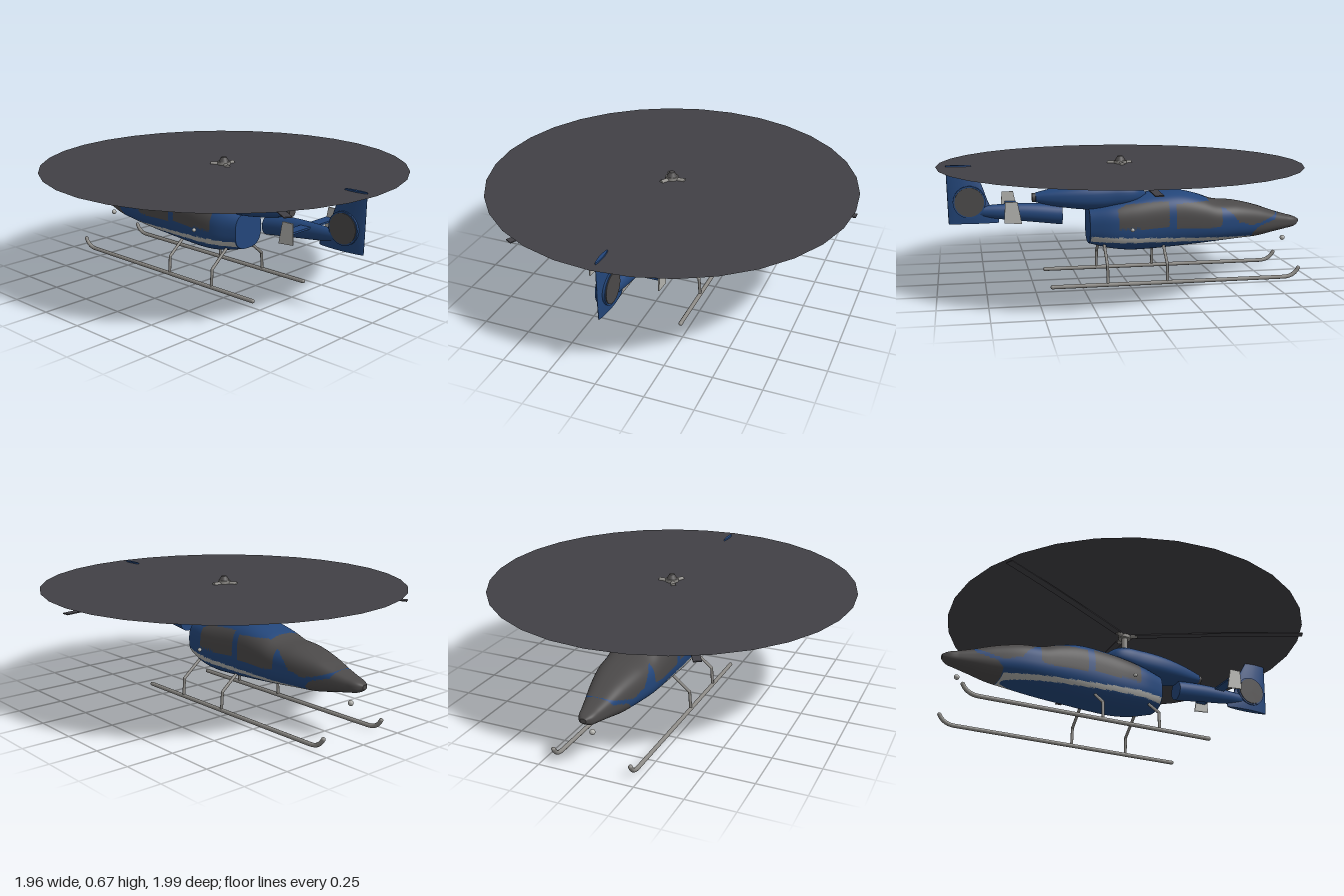
import * as THREE from 'three';

const mat = (name, hex, side = THREE.FrontSide) => {
  const m = new THREE.MeshStandardMaterial({ color: hex, side });
  m.name = name;
  return m;
};

// Point-in-polygon test for painted areas, in side view (z, y)
function inside(poly, z, y) {
  let hit = false;
  for (let i = 0, j = poly.length - 1; i < poly.length; j = i++) {
    const [zi, yi] = poly[i], [zj, yj] = poly[j];
    if ((yi > y) !== (yj > y) && z < ((zj - zi) * (y - yi)) / (yj - yi) + zi) hit = !hit;
  }
  return hit;
}

// Smooth skin along z through rows of [z, low, high, half width], with flat ends.
// paint(z, y) picks a material index for each face.
function loft(rows, { power = 2, steps = 40, around = 40, paint = () => 0 } = {}) {
  const curve = new THREE.CubicInterpolant(rows.map(r => r[0]), rows.flatMap(r => r.slice(1)), 3);
  const z0 = rows[0][0], z1 = rows[rows.length - 1][0];
  const pos = [], faces = [];
  const bend = v => Math.sign(v) * Math.pow(Math.abs(v), 2 / power);
  const ring = z => {
    const [lo, hi, w] = curve.evaluate(z);
    for (let j = 0; j < around; j++) {
      const a = (j / around) * Math.PI * 2;
      pos.push(w * bend(Math.cos(a)), (lo + hi) / 2 + ((hi - lo) / 2) * bend(Math.sin(a)), z);
    }
    return (lo + hi) / 2;
  };
  for (let i = 0; i <= steps; i++) ring(z0 + ((z1 - z0) * i) / steps);
  for (let i = 0; i < steps; i++) for (let j = 0; j < around; j++) {
    const k = (j + 1) % around, a = i * around + j, b = i * around + k;
    faces.push([a, b, a + around], [b, b + around, a + around]);
  }
  for (const [z, front] of [[z0, false], [z1, true]]) {
    const s = pos.length / 3;
    const mid = ring(z);
    pos.push(0, mid, z);
    for (let j = 0; j < around; j++) {
      const k = s + ((j + 1) % around);
      faces.push(front ? [s + around, s + j, k] : [s + around, k, s + j]);
    }
  }
  const byPaint = [];
  for (const f of faces) {
    const mean = o => (pos[f[0] * 3 + o] + pos[f[1] * 3 + o] + pos[f[2] * 3 + o]) / 3;
    (byPaint[paint(mean(2), mean(1))] ??= []).push(...f);
  }
  const g = new THREE.BufferGeometry();
  g.setAttribute('position', new THREE.Float32BufferAttribute(pos, 3));
  g.setIndex(byPaint.flat());
  let start = 0;
  byPaint.forEach((list, m) => { g.addGroup(start, list.length, m); start += list.length; });
  g.computeVertexNormals();
  return g;
}

// Painted areas of the fuselage
const glassAreas = [
  [[0.05, 0.395], [0, 0.42], [-0.225, 0.435], [-0.225, 0.3], [-0.18, 0.295], [0.045, 0.293]],
  [[-0.262, 0.42], [-0.44, 0.425], [-0.5, 0.41], [-0.522, 0.385], [-0.522, 0.3], [-0.49, 0.285], [-0.262, 0.285]],
  [[-0.44, 0.55], [-0.455, 0.41], [-0.54, 0.385], [-0.59, 0.345], [-0.62, 0.305], [-0.7, 0.285],
    [-0.75, 0.297], [-0.83, 0.325], [-0.865, 0.345], [-0.865, 0.55]],
];
const noseArea = [[-0.695, 0.15], [-0.705, 0.24], [-0.74, 0.275], [-0.84, 0.305], [-0.9, 0.4], [-1.1, 0.4], [-1.1, 0.15]];
const stripeArea = [[0.19, 0.25], [0.19, 0.219], [-0.7, 0.204], [-0.7, 0.221]];
const paintBody = (z, y) =>
  glassAreas.some(p => inside(p, z, y)) || inside(noseArea, z, y) ? 1 : inside(stripeArea, z, y) ? 2 : 0;

export function createModel() {
  const blue = mat('blue paint', 0x23467a);
  const dark = mat('dark grey', 0x4b4949);
  const light = mat('light grey', 0xb2b2ae);
  const metal = mat('metal grey', 0x8c8a86);
  const rotorGrey = mat('rotor grey', 0x414045, THREE.DoubleSide);

  const model = new THREE.Group();
  const add = (name, geo, material, x = 0, y = 0, z = 0) => {
    const m = new THREE.Mesh(geo, material);
    m.name = name;
    m.position.set(x, y, z);
    model.add(m);
    return m;
  };
  const ball = r => new THREE.SphereGeometry(r, 16, 12);

  // Cabin and nose
  add('fuselage', loft([
    [-0.997, 0.272, 0.295, 0.015], [-0.975, 0.256, 0.306, 0.035], [-0.92, 0.243, 0.322, 0.052],
    [-0.85, 0.23, 0.343, 0.072], [-0.75, 0.21, 0.378, 0.1], [-0.62, 0.2, 0.408, 0.13],
    [-0.5, 0.19, 0.42, 0.146], [-0.42, 0.182, 0.448, 0.15], [-0.3, 0.172, 0.474, 0.152],
    [-0.15, 0.162, 0.468, 0.152], [-0.02, 0.16, 0.448, 0.15], [0.08, 0.172, 0.428, 0.138],
    [0.195, 0.2, 0.4, 0.102],
  ], { power: 2.7, steps: 200, around: 88, paint: paintBody }), [blue, dark, light]);

  // Engine cowl, exhaust and tail boom
  add('engineCowl', loft([
    [-0.12, 0.45, 0.47, 0.03], [-0.075, 0.42, 0.51, 0.08], [-0.02, 0.4, 0.53, 0.1],
    [0.08, 0.385, 0.535, 0.102], [0.2, 0.385, 0.528, 0.1], [0.3, 0.395, 0.515, 0.085],
    [0.4, 0.412, 0.497, 0.058], [0.475, 0.43, 0.48, 0.032],
  ], { power: 2.5 }), blue);
  add('exhaust', new THREE.CylinderGeometry(0.024, 0.026, 0.06, 20), dark, 0, 0.455, 0.463).rotation.x = Math.PI / 2;
  add('tailBoom', loft([
    [0.335, 0.305, 0.415, 0.052], [0.5, 0.325, 0.426, 0.044], [0.67, 0.345, 0.424, 0.032], [0.84, 0.372, 0.41, 0.012],
  ], { steps: 20, around: 32 }), blue);

  // Fin: sections are stacked upward, with a round shrouded tail rotor
  const fin = loft([
    [0.325, -0.932, -0.67, 0.016], [0.345, -0.933, -0.67, 0.018], [0.42, -0.935, -0.716, 0.021],
    [0.55, -0.938, -0.765, 0.015], [0.636, -0.94, -0.812, 0.009],
  ], { power: 1.7, steps: 20, around: 32 });
  fin.rotateX(-Math.PI / 2);
  add('fin', fin, blue);
  add('tailRotorRim', new THREE.CylinderGeometry(0.085, 0.085, 0.05, 32), blue, 0, 0.442, 0.823).rotation.z = Math.PI / 2;
  add('tailRotor', new THREE.CylinderGeometry(0.077, 0.077, 0.058, 32), dark, 0, 0.442, 0.823).rotation.z = Math.PI / 2;

  // Tailplane with slanted end plates
  add('tailplane', new THREE.BoxGeometry(0.366, 0.01, 0.06), blue, 0, 0.405, 0.6);
  const plate = new THREE.Shape([[-0.645, 0.463], [-0.582, 0.463], [-0.56, 0.348], [-0.65, 0.355]]
    .map(p => new THREE.Vector2(...p)));
  for (const s of [1, -1]) {
    const g = new THREE.ExtrudeGeometry(plate, { depth: 0.007, bevelEnabled: false });
    g.rotateY(Math.PI / 2);
    add('tailplaneEnd', g, light, s * 0.183 - 0.0035);
  }

  // Skids and their legs
  const tube = (pts, r, n) => new THREE.TubeGeometry(pts, n, r, 10);
  for (const s of [1, -1]) {
    const v = (x, y, z) => new THREE.Vector3(s * x, y, z);
    const skid = new THREE.CurvePath();
    skid.add(new THREE.LineCurve3(v(0.204, 0.011, 0.41), v(0.204, 0.011, -0.85)));
    skid.add(new THREE.QuadraticBezierCurve3(v(0.204, 0.011, -0.85), v(0.204, 0.011, -0.91), v(0.204, 0.058, -0.933)));
    add('skid', tube(skid, 0.011, 80), metal);
    add('skidTip', ball(0.011), metal, s * 0.204, 0.058, -0.933);
    add('skidEnd', ball(0.011), metal, s * 0.204, 0.011, 0.41);
    for (const z of [0.118, -0.203]) {
      add('skidLegLower', tube(new THREE.LineCurve3(v(0.204, 0.011, z), v(0.197, 0.11, z)), 0.008, 1), metal);
      add('skidLegUpper', tube(new THREE.LineCurve3(v(0.197, 0.11, z), v(0.085, 0.202, z)), 0.008, 1), metal);
      add('skidLegJoint', ball(0.008), metal, s * 0.197, 0.11, z);
    }
    // Side lamps
    add('sideLamp', ball(0.011), light, s * 0.197, 0.298, -0.016);
  }
  add('noseLamp', ball(0.014), light, 0, 0.186, -0.913);
  add('topLamp', ball(0.014), light, 0, 0.534, 0.256);

  // Mast and hub
  const hubZ = 0.016, hubY = 0.627;
  add('mast', new THREE.CylinderGeometry(0.018, 0.018, 0.11, 20), metal, 0, 0.565, hubZ);
  add('hub', new THREE.CylinderGeometry(0.034, 0.034, 0.034, 24), metal, 0, hubY, hubZ);
  add('hubCap', new THREE.CylinderGeometry(0.014, 0.03, 0.026, 24), dark, 0, 0.655, hubZ);

  // Three drooping blades
  for (let i = 0; i < 3; i++) {
    const rotor = new THREE.Group();
    rotor.name = 'rotorBlade';
    rotor.position.set(0, hubY, hubZ);
    rotor.rotation.y = (i * Math.PI * 2) / 3;
    const arm = new THREE.Mesh(new THREE.CylinderGeometry(0.013, 0.013, 0.05, 14), metal);
    arm.name = 'hubArm';
    arm.rotation.z = Math.PI / 2;
    arm.position.x = 0.047;
    const g = new THREE.BoxGeometry(0.92, 0.005, 0.04, 16, 1, 1).translate(0.52, -0.003, 0);
    const p = g.attributes.position;
    for (let k = 0; k < p.count; k++) p.setY(k, p.getY(k) - 0.023 * p.getX(k) ** 2);
    g.computeVertexNormals();
    const blade = new THREE.Mesh(g, rotorGrey);
    blade.name = 'blade';
    rotor.add(arm, blade);
    model.add(rotor);
  }

  // Flat disc swept by the blades
  add('rotorDisc', new THREE.CircleGeometry(0.975, 32), rotorGrey, 0, 0.628, hubZ).rotation.x = -Math.PI / 2;

  return model;
}
